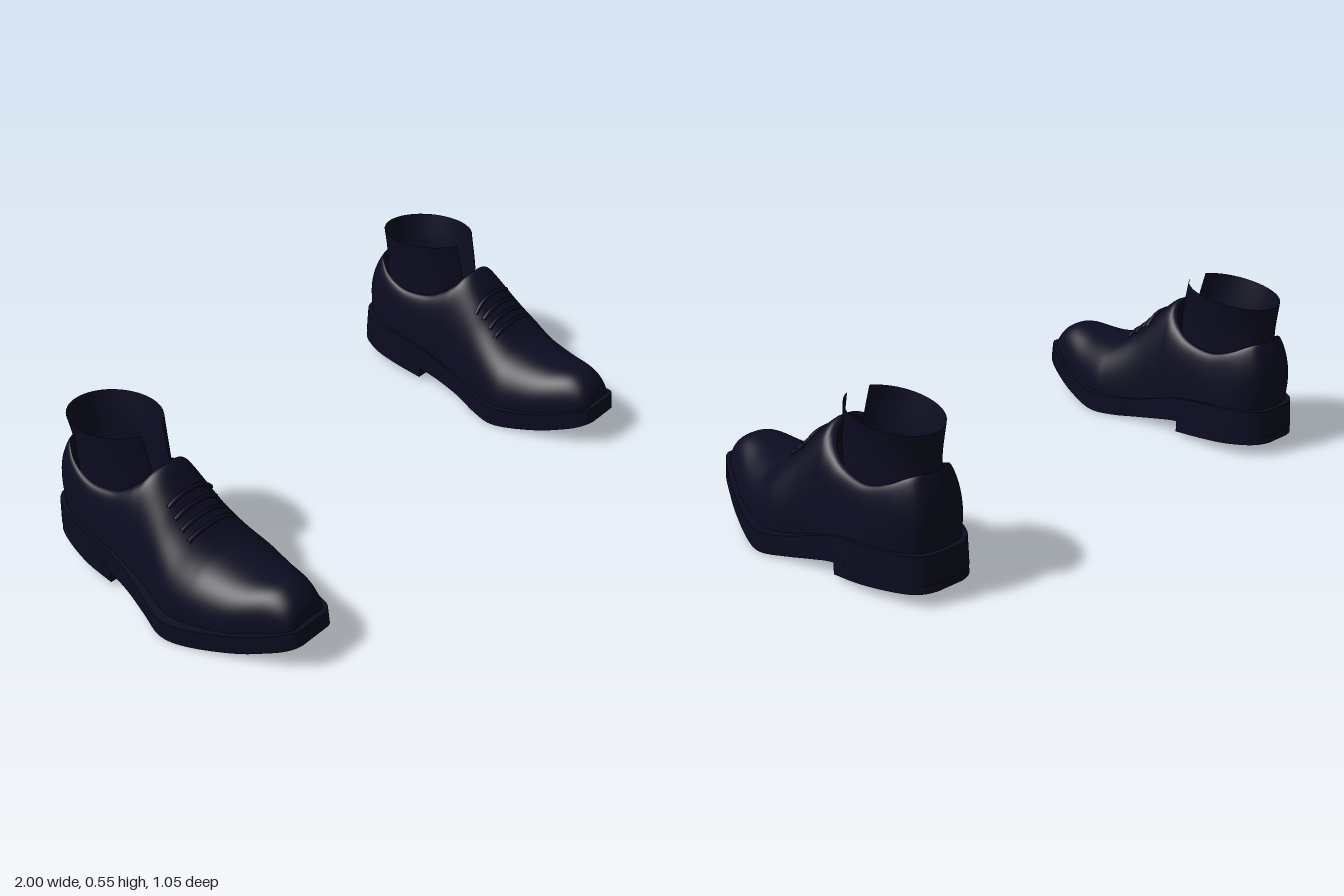
import * as THREE from 'three';
import { mergeGeometries, mergeVertices, toCreasedNormals } from 'three/addons/utils/BufferGeometryUtils.js';

const navy = new THREE.MeshStandardMaterial({ color: 0x0c0c22, side: THREE.DoubleSide });
navy.name = 'navy leather';

// Subdivide a table of stations smoothly (Catmull-Rom on every column).
function spline(rows, n) {
  const out = [];
  const at = (i) => rows[Math.max(0, Math.min(rows.length - 1, i))];
  for (let i = 0; i < rows.length - 1; i++) {
    for (let k = 0; k < n; k++) {
      const t = k / n;
      out.push(rows[i].map((b, c) => {
        const a = at(i - 1)[c], d = at(i + 1)[c], e = at(i + 2)[c];
        return b + 0.5 * t * (d - a + t * (2 * a - 5 * b + 4 * d - e + t * (3 * (b - d) + e - a)));
      }));
    }
  }
  out.push(rows[rows.length - 1]);
  return out;
}

// Surface through rows of [x, y, z] points.
function grid(rows, flip) {
  const n = rows[0].length, index = [];
  for (let i = 0; i < rows.length - 1; i++) {
    for (let j = 0; j < n - 1; j++) {
      const a = i * n + j, b = a + n, c = a + 1, d = b + 1;
      index.push(...(flip ? [a, c, b, b, c, d] : [a, b, c, b, d, c]));
    }
  }
  const g = new THREE.BufferGeometry();
  g.setAttribute('position', new THREE.Float32BufferAttribute(rows.flat(2), 3));
  g.setIndex(index);
  return g;
}

// Sole stations: z, inner x, outer x, underside y, top y
const SOLE = [
  [0.517, 0.70, 0.815, 0.095, 0.15], [0.50, 0.675, 0.84, 0.085, 0.145],
  [0.45, 0.645, 0.87, 0.06, 0.125], [0.35, 0.605, 0.918, 0.027, 0.095],
  [0.20, 0.56, 0.977, 0.003, 0.072], [0.10, 0.575, 1.0, 0.003, 0.072],
  [0.0, 0.605, 0.972, 0.015, 0.085], [-0.10, 0.615, 0.947, 0.035, 0.115],
  [-0.19, 0.61, 0.937, 0.055, 0.143], [-0.30, 0.61, 0.932, 0.06, 0.158],
  [-0.40, 0.62, 0.912, 0.065, 0.162], [-0.47, 0.65, 0.885, 0.07, 0.163],
  [-0.505, 0.685, 0.852, 0.07, 0.163], [-0.518, 0.72, 0.815, 0.07, 0.163],
];

// Upper stations: z, inner x, outer x, base y, crest or rim y, opening half width, centre x
const UPPER = [
  [0.497, 0.705, 0.81, 0.135, 0.15, 0, 0.758], [0.488, 0.685, 0.83, 0.13, 0.19, 0, 0.758],
  [0.455, 0.665, 0.85, 0.12, 0.223, 0, 0.758], [0.40, 0.64, 0.875, 0.10, 0.239, 0, 0.76],
  [0.30, 0.605, 0.922, 0.08, 0.231, 0, 0.763], [0.20, 0.58, 0.95, 0.067, 0.246, 0, 0.765],
  [0.15, 0.583, 0.962, 0.067, 0.267, 0, 0.765], [0.10, 0.593, 0.968, 0.067, 0.302, 0, 0.765],
  [0.05, 0.605, 0.96, 0.072, 0.345, 0, 0.765], [0.0, 0.615, 0.945, 0.08, 0.398, 0, 0.765],
  [-0.065, 0.62, 0.932, 0.10, 0.453, 0, 0.767], [-0.10, 0.62, 0.93, 0.11, 0.415, 0.065, 0.768],
  [-0.14, 0.618, 0.928, 0.125, 0.38, 0.095, 0.77], [-0.20, 0.617, 0.926, 0.14, 0.348, 0.112, 0.77],
  [-0.30, 0.618, 0.922, 0.155, 0.336, 0.118, 0.77], [-0.40, 0.635, 0.9, 0.158, 0.36, 0.106, 0.768],
  [-0.46, 0.665, 0.87, 0.158, 0.385, 0.08, 0.768], [-0.49, 0.70, 0.835, 0.158, 0.395, 0.052, 0.768],
  [-0.504, 0.768, 0.768, 0.158, 0.397, 0, 0.768],
];

// Flat-sided slab following the sole outline, capped at both ends
function slab(stations, s) {
  const rings = stations.map(([z, xi, xo, y0, y1]) => {
    const flare = 0.007 * Math.sign(z) * THREE.MathUtils.smoothstep(Math.abs(z), 0.4, 0.51);
    const bo = [s * xo, y0, z + flare], bi = [s * xi, y0, z + flare];
    return [bo, [s * xo, y1, z], [s * xi, y1, z], bi, bo];
  });
  const cap = (r) => {
    const mid = [0, 1, 2].map((c) => (r[0][c] + r[1][c] + r[2][c] + r[3][c]) / 4);
    return r.map(() => mid);
  };
  const rows = [cap(rings[0]), ...rings, cap(rings[rings.length - 1])];
  return toCreasedNormals(grid(rows, s < 0), 0.6);
}

// Half of the upper: each row climbs from the welt to the crest or collar rim
function upperHalf(stations, s, h) {
  const steps = 16;
  return stations.map(([z, xi, xo, y0, y1, open, cx]) => {
    const half = h > 0 ? xo - cx : cx - xi;
    const back = THREE.MathUtils.smoothstep(-z, 0.3, 0.5);
    return Array.from({ length: steps + 1 }, (_, j) => {
      const a = (j / steps) * Math.PI / 2;
      const c = j === steps ? 0 : Math.cos(a) ** 0.8, f = Math.sin(a) ** 0.85;
      const lean = back * (0.03 * f ** 3 - 0.012 * Math.sin(Math.PI * f));
      return [s * (cx + h * (open + (half - open) * c)), y0 + (y1 - y0) * f, z + lean];
    });
  });
}

// Ankle sheet with an open slit at the front
function ankle(s) {
  // y at front, y at back, centre z, half width, half length
  const levels = spline([
    [0.2, 0.2, -0.27, 0.10, 0.18], [0.36, 0.36, -0.273, 0.108, 0.19],
    [0.44, 0.43, -0.278, 0.113, 0.187], [0.552, 0.516, -0.295, 0.13, 0.176],
  ], 4);
  const rows = levels.map(([yf, yb, cz, rx, rz]) => Array.from({ length: 41 }, (_, j) => {
    const a = 0.33 + (j / 40) * (2 * Math.PI - 0.66);
    return [s * (0.77 + rx * Math.sin(a)), yb + (yf - yb) * (0.5 + 0.5 * Math.cos(a)), cz + rz * Math.cos(a)];
  }));
  const g = grid(rows, s > 0);
  g.computeVertexNormals();
  return g;
}

function makeShoe(s) {
  const shoe = new THREE.Group();
  const add = (name, geometry) => {
    const mesh = new THREE.Mesh(geometry, navy);
    mesh.name = name;
    shoe.add(mesh);
    return mesh;
  };

  // Sole and heel block
  add('sole', slab(spline(SOLE, 4), s));
  const heel = SOLE.filter((r) => r[0] <= -0.19).map(([z, xi, xo, y0]) =>
    [z, xi, xo, 0.015 + (-0.19 - z) * 0.09, y0 + 0.01]);
  add('heel', slab(spline(heel, 4), s));

  // Leather upper
  const stations = spline(UPPER, 5);
  const outer = upperHalf(stations, s, 1), inner = upperHalf(stations, s, -1);
  const upper = mergeVertices(mergeGeometries([grid(outer, s < 0), grid(inner, s > 0)]), 1e-5);
  upper.computeVertexNormals();
  add('upper', upper);

  // Ankle and the insole closing it below
  add('ankle', ankle(s));
  const insole = add('insole', new THREE.CircleGeometry(1, 32));
  insole.rotation.x = -Math.PI / 2;
  insole.scale.set(0.10, 0.18, 1);
  insole.position.set(s * 0.77, 0.2, -0.27);

  // Laces lying across the instep
  for (const z of [0.097, 0.068, 0.038, 0.008]) {
    let k = 0;
    stations.forEach((r, i) => { if (Math.abs(r[0] - z) < Math.abs(stations[k][0] - z)) k = i; });
    const near = (p) => Math.abs(p[0] - s * stations[k][6]) < 0.095;
    const path = [...outer[k].filter(near), ...inner[k].filter(near).reverse().slice(1)]
      .map(([x, y, pz]) => new THREE.Vector3(x, y + 0.004, pz + 0.003));
    add('lace', new THREE.TubeGeometry(new THREE.CatmullRomCurve3(path), 20, 0.007, 8));
  }
  return shoe;
}

export function createModel() {
  const model = new THREE.Group();
  model.name = 'pair of shoes';
  for (const [name, s] of [['leftShoe', 1], ['rightShoe', -1]]) {
    const shoe = makeShoe(s);
    shoe.name = name;
    model.add(shoe);
  }
  return model;
}
